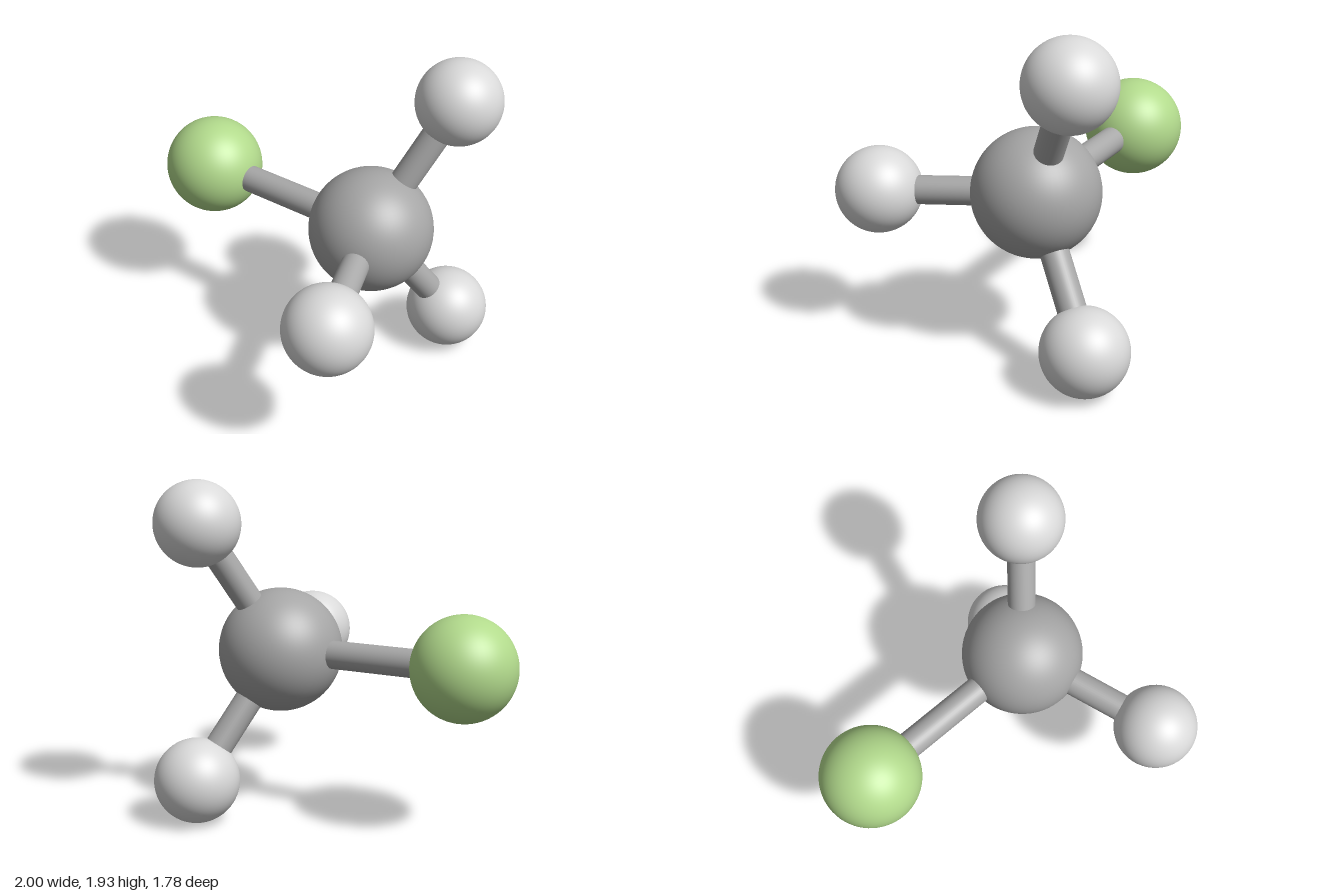
import * as THREE from 'three';

const mat = (name, color) => {
  const m = new THREE.MeshStandardMaterial({ color });
  m.name = name;
  return m;
};

export function createModel() {
  const group = new THREE.Group();
  group.name = 'ballAndStickMolecule';

  const darkGrey = mat('darkGrey', 0xa6a6a6);
  const bondGrey = mat('bondGrey', 0xa8a8a8);
  const paleGrey = mat('paleGrey', 0xd9d9d9);
  const green = mat('green', 0xb2da8c);

  const addAtom = (name, position, radius, material) => {
    const mesh = new THREE.Mesh(new THREE.SphereGeometry(radius, 64, 40), material);
    mesh.name = name;
    mesh.position.copy(position);
    group.add(mesh);
  };

  // Rod running between two atom centres
  const addBond = (name, from, to) => {
    const dir = to.clone().sub(from);
    const mesh = new THREE.Mesh(new THREE.CylinderGeometry(0.08, 0.08, dir.length(), 40), bondGrey);
    mesh.name = name;
    mesh.position.copy(from).addScaledVector(dir, 0.5);
    mesh.quaternion.setFromUnitVectors(new THREE.Vector3(0, 1, 0), dir.normalize());
    group.add(mesh);
  };

  // Central atom
  const centre = new THREE.Vector3(0.447, 0.948, -0.195);
  addAtom('centralAtom', centre, 0.356, darkGrey);

  // Outer atoms, each joined to the centre by a bond
  const outer = [
    ['green', [-0.707, 0.963, -0.228], 0.293, green],
    ['upper', [0.753, 1.696, -0.555], 0.242, paleGrey],
    ['lower', [0.741, 0.246, -0.648], 0.242, paleGrey],
    ['front', [0.714, 0.892, 0.65], 0.242, paleGrey],
  ];
  for (const [name, p, radius, material] of outer) {
    const position = new THREE.Vector3(...p);
    addAtom(name + 'Atom', position, radius, material);
    addBond(name + 'Bond', centre, position);
  }
  return group;
}
